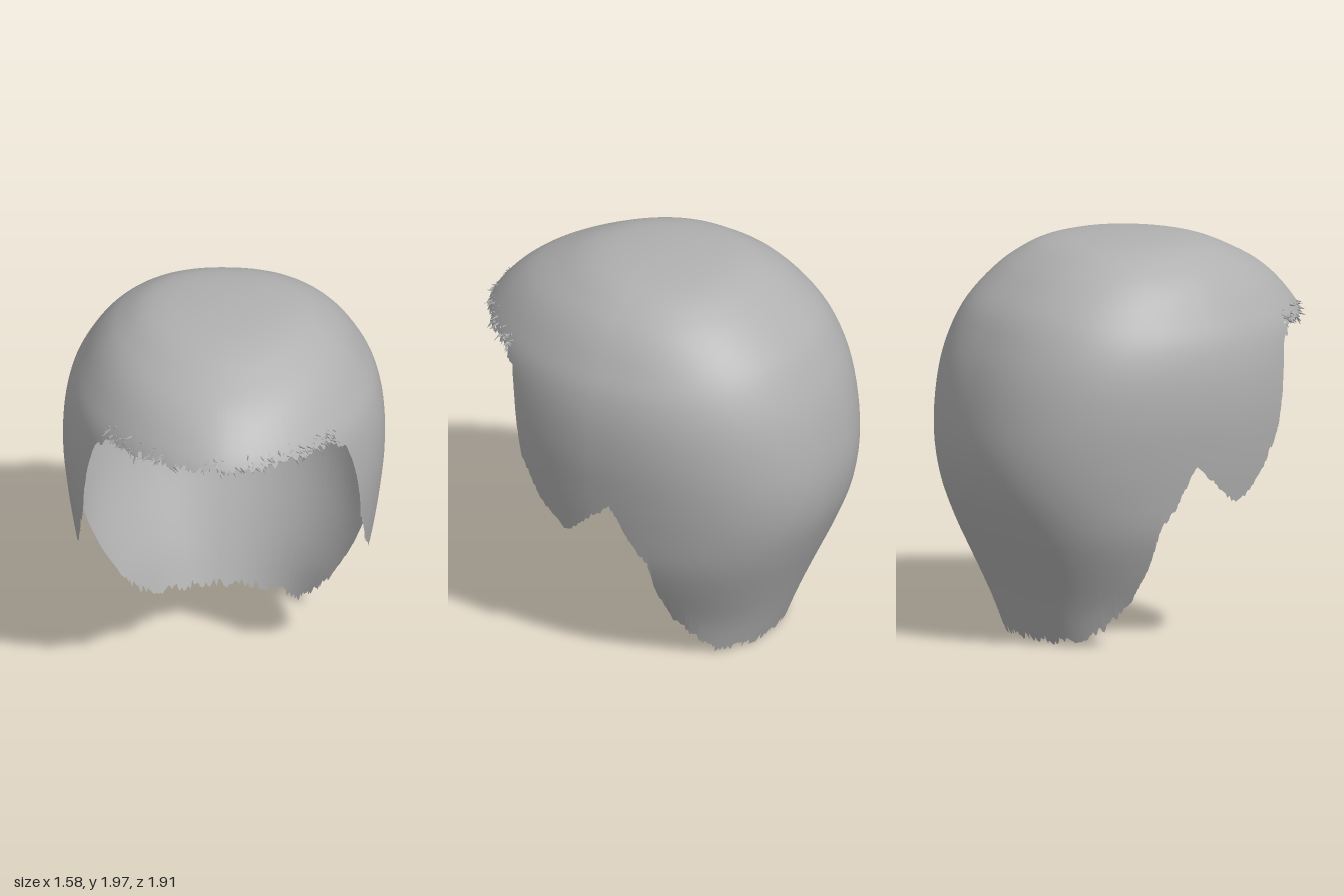
import * as THREE from 'three';
import { mergeGeometries } from 'three/addons/utils/BufferGeometryUtils.js';

// Horizontal sections of the hair cap: height, half width, front depth, back depth
const SECTIONS = [
  [2, 0, 0, 0], [1.975, 0.33, 0.32, 0.34], [1.885, 0.52, 0.57, 0.55], [1.8, 0.61, 0.72, 0.66],
  [1.68, 0.69, 0.85, 0.78], [1.56, 0.75, 0.93, 0.85], [1.4, 0.785, 0.95, 0.915],
  [1.2, 0.79, 0.98, 0.957], [1, 0.77, 1, 0.97], [0.8, 0.74, 1, 0.938], [0.6, 0.7, 1, 0.86],
  [0.4, 0.62, 0.9, 0.768], [0.2, 0.53, 0.8, 0.68], [0, 0.49, 0.7, 0.6],
];
// Hairline on one side, from the middle of the fringe to the nape: z, y
const HAIRLINE = [
  [0.95, 1.58], [0.6, 1.575], [0.52, 1.5], [0.5, 1.42], [0.47, 1.25], [0.43, 1.05], [0.38, 0.98],
  [0.33, 0.88], [0.25, 0.79], [0.17, 0.74], [0.1, 0.78], [0, 0.88], [-0.1, 0.95], [-0.15, 0.85],
  [-0.2, 0.74], [-0.27, 0.64], [-0.28, 0.45], [-0.32, 0.25], [-0.4, 0.14], [-0.48, 0.05], [-0.7, 0.045],
];
const FRONT_POWER = 1.85, BACK_POWER = 2.3;

let seed = 7;
const random = () => (seed = (seed * 16807) % 2147483647) / 2147483647;
const spread = (size) => (random() * 2 - 1) * size;

// Smooth interpolation of the sections, spaced by the root of the drop from the crown
const drops = SECTIONS.map((s) => Math.sqrt(2 - s[0]));
function section(y) {
  const u = Math.sqrt(Math.max(0, 2 - y)), last = drops.length - 1;
  let i = 0;
  while (i < last - 1 && u > drops[i + 1]) i++;
  const h = drops[i + 1] - drops[i], t = Math.min(1, (u - drops[i]) / h);
  return [1, 2, 3].map((k) => {
    const slope = (j) => {
      const p = Math.max(0, j - 1), n = Math.min(last, j + 1);
      return (SECTIONS[n][k] - SECTIONS[p][k]) / (drops[n] - drops[p]);
    };
    const a = SECTIONS[i][k], b = SECTIONS[i + 1][k];
    return a * (1 + 2 * t) * (1 - t) ** 2 + b * t * t * (3 - 2 * t)
      + h * (slope(i) * t * (1 - t) ** 2 - slope(i + 1) * t * t * (1 - t));
  });
}

// Point on the cap: phi is +90 degrees at the front and -90 at the back
function capPoint(phi, y, side) {
  const [width, front, back] = section(y);
  const s = Math.sin(phi), c = Math.max(0, Math.cos(phi));
  const e = 2 / (s > 0 ? FRONT_POWER : BACK_POWER);
  return new THREE.Vector3(side * width * c ** e, y, s > 0 ? front * s ** e : -back * (-s) ** e);
}

// Hairline as angle and height, resampled evenly
function hairline(count) {
  const points = HAIRLINE.map(([z, y], i) => {
    const [, front, back] = section(y);
    const r = Math.min(1, z > 0 ? z / front : -z / back);
    const phi = Math.asin(r ** ((z > 0 ? FRONT_POWER : BACK_POWER) / 2)) * (z > 0 ? 1 : -1);
    return new THREE.Vector2(i === 0 ? Math.PI / 2 : phi, y);
  });
  const path = new THREE.CurvePath();
  for (let i = 1; i < points.length; i++) path.add(new THREE.LineCurve(points[i - 1], points[i]));
  return Array.from({ length: count + 1 }, (_, i) => path.getPoint(i / count));
}

// Ragged edge: strongest at the fringe and the nape
function raggedColumns() {
  const count = 230, edge = hairline(count);
  const right = edge.map((p) => ({ phi: p.x, y: p.y, side: 1 }));
  const left = edge.slice(1, count).reverse().map((p) => ({ phi: p.x, y: p.y, side: -1 }));
  return [...right, ...left].map((c) => {
    const amount = c.y > 1.52 ? 0.02 : c.y < 0.2 ? 0.022 : 0.012;
    return { ...c, y: Math.max(0, c.y + spread(amount)) };
  });
}

// Shell of columns running from the crown down to the hairline
function capGeometry(columns) {
  const rows = 44, n = columns.length, positions = [0, 2, 0], index = [];
  const at = (i, j) => 1 + (i % n) * rows + j - 1;
  columns.forEach((c, i) => {
    for (let j = 1; j <= rows; j++) {
      const p = capPoint(c.phi, 2 - (2 - c.y) * (j / rows) ** 2, c.side);
      positions.push(p.x, p.y, p.z);
      if (j === 1) index.push(0, at(i, 1), at(i + 1, 1));
      else index.push(at(i, j - 1), at(i, j), at(i + 1, j), at(i, j - 1), at(i + 1, j), at(i + 1, j - 1));
    }
  });
  const geometry = new THREE.BufferGeometry();
  geometry.setAttribute('position', new THREE.Float32BufferAttribute(positions, 3));
  geometry.setIndex(index);
  geometry.computeVertexNormals();
  return geometry;
}

// Small crooked tufts along the fringe
function tuftGeometry(columns) {
  const tufts = [], up = new THREE.Vector3(0, 1, 0);
  for (const c of columns.filter((c) => c.y > 1.54 && c.phi > 0.6)) {
    for (let k = 0; k < 2; k++) {
      const length = 0.035 + random() * 0.035;
      const base = capPoint(c.phi, c.y + random() * 0.05, c.side);
      const out = new THREE.Vector3(base.x, 0, base.z).normalize();
      const direction = out.multiplyScalar(0.45)
        .add(new THREE.Vector3(spread(0.8), -0.45 + spread(0.5), spread(0.3))).normalize();
      const tuft = new THREE.ConeGeometry(0.007 + random() * 0.006, length, 5, 1);
      tuft.translate(0, length * 0.3, 0);
      tuft.applyQuaternion(new THREE.Quaternion().setFromUnitVectors(up, direction));
      tuft.translate(base.x, base.y, base.z - 0.015);
      tufts.push(tuft);
    }
  }
  return mergeGeometries(tufts);
}

export function createModel() {
  const hair = new THREE.MeshStandardMaterial({ color: 0xb0b0b0, side: THREE.DoubleSide });
  hair.name = 'hair grey';
  const columns = raggedColumns();
  const group = new THREE.Group();
  group.name = 'hair';
  const cap = new THREE.Mesh(capGeometry(columns), hair);
  cap.name = 'hairCap';
  const tufts = new THREE.Mesh(tuftGeometry(columns), hair);
  tufts.name = 'fringeTufts';
  group.add(cap, tufts);
  return group;
}
